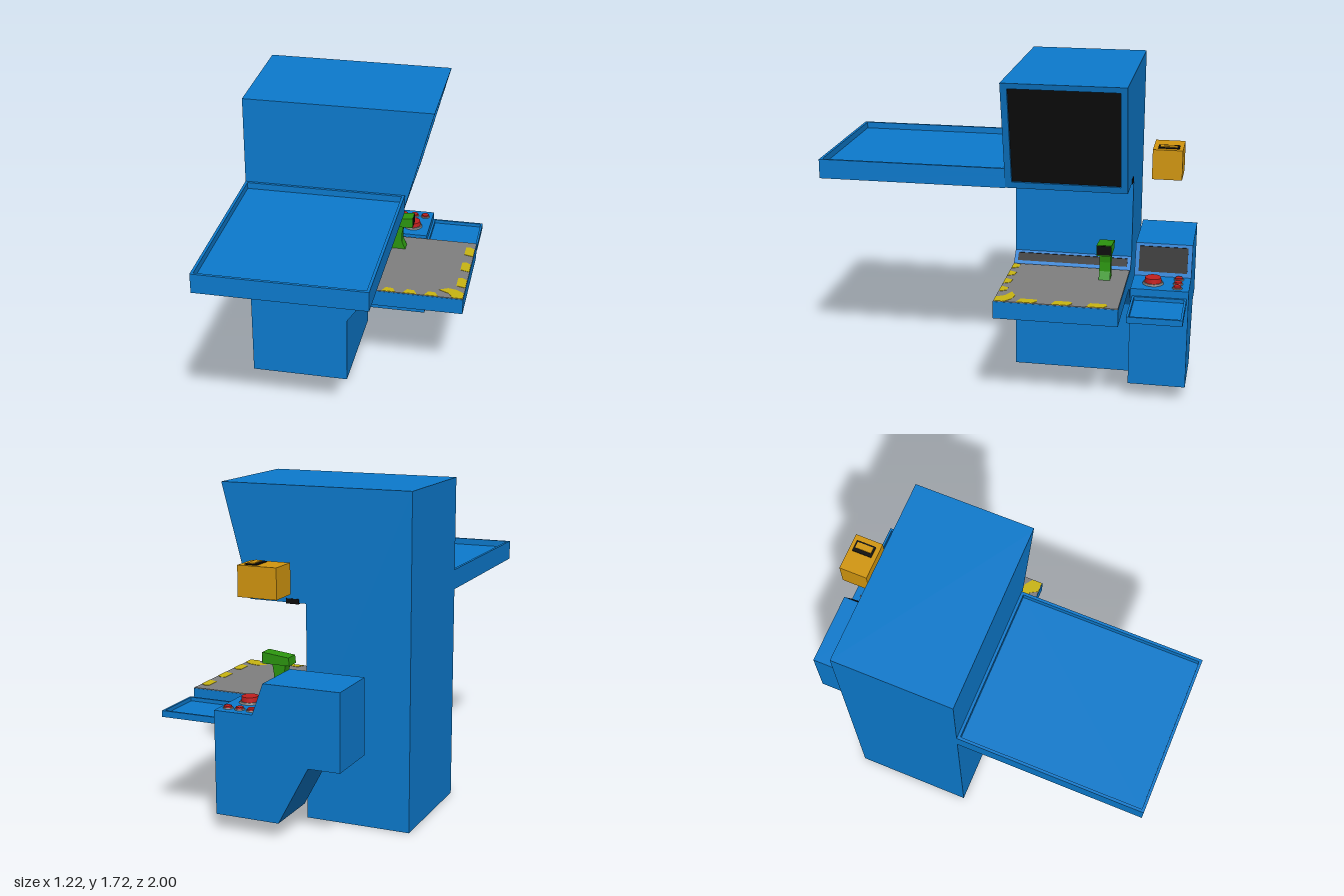
import * as THREE from 'three';

const mat = (name, color) => {
  const m = new THREE.MeshStandardMaterial({ color });
  m.name = name;
  return m;
};

export function createModel() {
  const blue = mat('blue paint', 0x0c7acd);
  const black = mat('black glass', 0x0d0d0d);
  const gray = mat('gray counter', 0x7f7f7f);
  const yellow = mat('hazard yellow', 0xc9b512);
  const green = mat('green plastic', 0x2c960f);
  const orange = mat('orange plastic', 0xd2960f);
  const red = mat('red button', 0xc0201f);

  const model = new THREE.Group();
  model.name = 'arcadeConsole';

  const add = (name, geometry, material) => {
    const mesh = new THREE.Mesh(geometry, material);
    mesh.name = name;
    model.add(mesh);
    return mesh;
  };
  const box = (name, material, x0, x1, y0, y1, z0, z1) => {
    const g = new THREE.BoxGeometry(x1 - x0, y1 - y0, z1 - z0);
    g.translate((x0 + x1) / 2, (y0 + y1) / 2, (z0 + z1) / 2);
    return add(name, g, material);
  };
  const polygon = (pts) => new THREE.Shape(pts.map(([x, y]) => new THREE.Vector2(x, y)));
  const rect = (x0, x1, y0, y1) => polygon([[x0, y0], [x1, y0], [x1, y1], [x0, y1]]);
  const extrude = (shape, depth) =>
    new THREE.ExtrudeGeometry(shape, { depth, bevelEnabled: false });

  // Side outline (x, y) swept across z
  const slab = (name, material, pts, z0, z1) =>
    add(name, extrude(polygon(pts), z1 - z0).translate(0, 0, z0), material);

  // Panel lying on a slope facing +x: shape is (-z, height above the slope foot)
  const slopePanel = (name, material, shape, depth, footX, footY, lean) => {
    const g = extrude(shape, depth);
    const m = new THREE.Matrix4().makeBasis(
      new THREE.Vector3(0, 0, -1), new THREE.Vector3(lean, 1, 0), new THREE.Vector3(1, 0, 0));
    m.setPosition(footX, footY, 0);
    return add(name, g.applyMatrix4(m), material);
  };

  // Flat shape (x, -z) raised along y
  const flat = (name, material, shape, y, depth) =>
    add(name, extrude(shape, depth).rotateX(-Math.PI / 2).translate(0, y, 0), material);

  // Shallow open-topped tray with a rim
  const tray = (name, x0, x1, y0, y1, z0, z1, rim, depth) => {
    box(name + 'Base', blue, x0, x1, y0, y1 - depth, z0, z1);
    const outer = rect(x0, x1, -z1, -z0);
    outer.holes.push(rect(x0 + rim, x1 - rim, -z1 + rim, -z0 - rim));
    flat(name + 'Rim', blue, outer, y1 - depth, depth);
  };

  // Main cabinet with overhanging hood and counter
  const zBack = -0.66, zFront = -0.015;
  slab('cabinet', blue, [
    [-0.61, 0], [-0.05, 0], [-0.05, 0.4], [0.04, 0.53], [0.605, 0.53], [0.605, 0.622],
    [0.01, 0.622], [-0.05, 0.682], [-0.05, 1.13], [0.24, 1.13], [0.395, 1.72], [-0.61, 1.72],
  ], zBack, zFront);

  // Hood screen set behind a leaning frame
  const lean = 0.155 / 0.59;
  const frame = rect(-zFront, -zBack, 0, 0.59);
  frame.holes.push(rect(0.05, 0.625, 0.035, 0.56));
  slopePanel('screenFrame', blue, frame, 0.02, 0.24, 1.13, lean);
  slopePanel('mainScreen', black, rect(0.05, 0.625, 0.035, 0.56), 0.005, 0.24, 1.13, lean);
  box('hoodVent', black, -0.01, 0.06, 1.124, 1.15, -0.664, -0.62);

  // Display strip at the back of the counter
  slopePanel('displayStrip', black, rect(0.035, 0.64, 0.016, 0.05), 0.005, 0.01, 0.622, -1);

  // Counter top with hazard markings along two edges
  box('counterTop', gray, 0.02, 0.603, 0.622, 0.626, zBack + 0.002, zFront - 0.002);
  const patch = (pts) => flat('hazardMark', yellow, polygon(pts), 0.626, 0.002);
  for (const z of [0.19, 0.37, 0.55]) {
    patch([[0.55, z - 0.04], [0.602, z - 0.055], [0.602, z + 0.03], [0.575, z + 0.05], [0.55, z + 0.045]]);
  }
  patch([[0.46, 0.09], [0.52, 0.06], [0.545, 0.018], [0.602, 0.018], [0.602, 0.075], [0.56, 0.105], [0.51, 0.115]]);
  for (const x of [0.07, 0.19, 0.31, 0.43]) {
    patch([[x - 0.045, 0.018], [x + 0.035, 0.018], [x + 0.015, 0.055], [x - 0.025, 0.06]]);
  }

  // Joystick
  slab('joystickShaft', green, [
    [0.12, 0.626], [0.2, 0.626], [0.18, 0.67], [0.178, 0.72], [0.188, 0.778], [0.112, 0.778],
    [0.122, 0.72], [0.125, 0.67],
  ], -0.57, -0.51);
  slab('joystickHead', green, [
    [0.085, 0.775], [0.24, 0.775], [0.24, 0.835], [0.09, 0.818],
  ], -0.58, -0.5);
  box('joystickFace', black, 0.238, 0.244, 0.782, 0.832, -0.577, -0.503);

  // Large wing tray
  tray('wingTray', -0.61, 0.268, 1.13, 1.235, -0.015, 1, 0.015, 0.035);

  // Side console
  slab('sideConsole', blue, [
    [-0.38, 0.39], [-0.21, 0.39], [-0.047, 0.085], [0.3, 0.085], [0.3, 0.628],
    [0.09, 0.628], [0.03, 0.793], [-0.38, 0.793],
  ], -0.995, -0.69);
  slopePanel('sideScreen', black, rect(0.712, 0.972, 0.022, 0.15), 0.004, 0.09, 0.628, -0.06 / 0.165);
  tray('sideTray', 0.3, 0.605, 0.555, 0.588, -0.985, -0.7, 0.012, 0.02);

  // Buttons on the side console
  const button = (name, material, x, z, radius, height) =>
    add(name, new THREE.CylinderGeometry(radius * 0.92, radius, height, 24)
      .translate(x, 0.628 + height / 2, z), material);
  button('buttonRing', gray, 0.2, -0.8, 0.056, 0.01);
  button('largeButton', red, 0.2, -0.8, 0.046, 0.035);
  for (const x of [0.125, 0.19, 0.255]) {
    button('smallButtonRing', gray, x, -0.932, 0.027, 0.006);
    button('smallButton', red, x, -0.932, 0.021, 0.014);
  }

  // Floating orange unit with a slotted top
  box('orangeUnit', orange, -0.02, 0.19, 1.197, 1.355, -0.93, -0.775);
  box('unitSlot', black, 0.095, 0.16, 1.355, 1.36, -0.91, -0.8);
  box('unitSlotBar', orange, 0.115, 0.15, 1.355, 1.364, -0.9, -0.81);

  return model;
}
